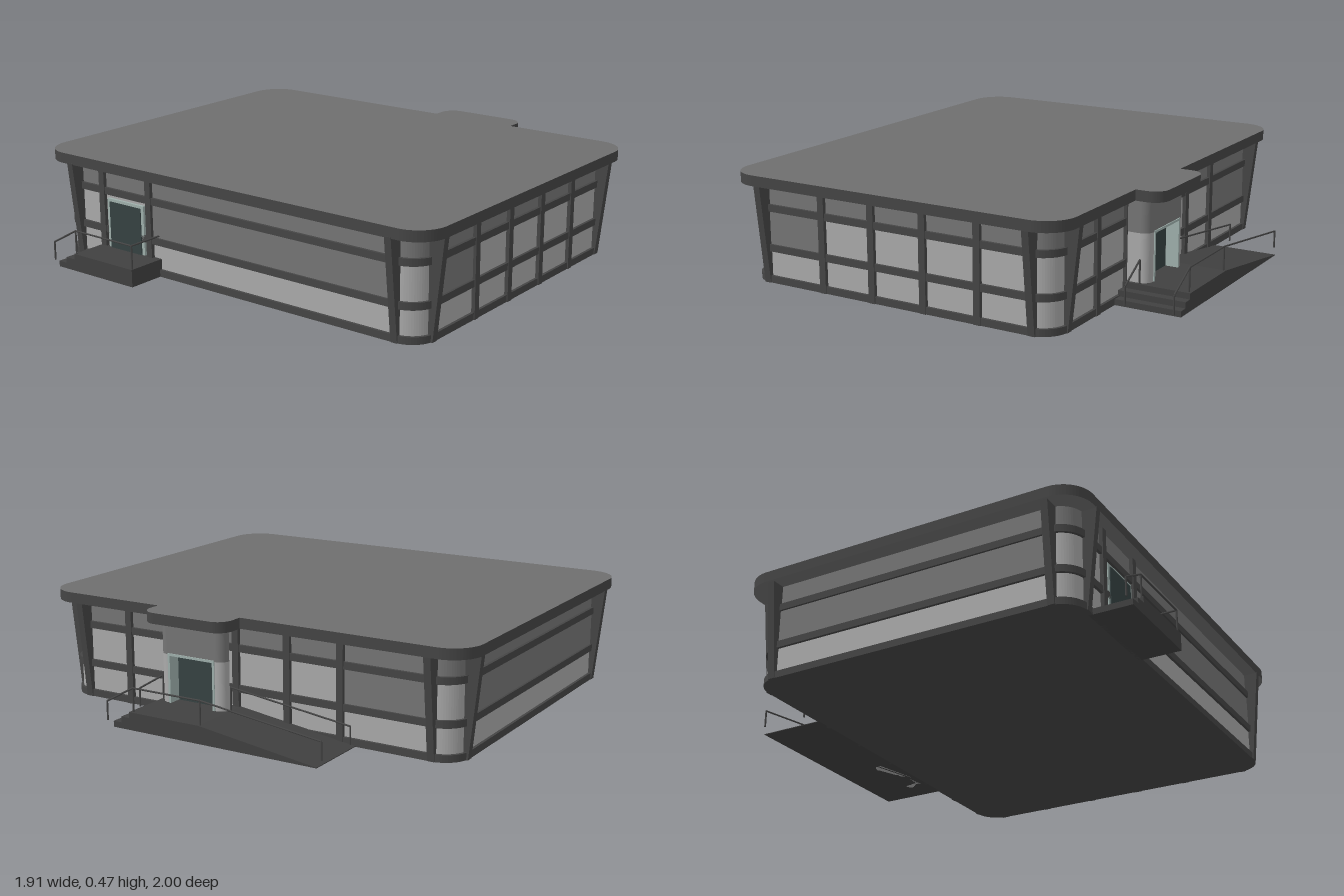
import * as THREE from 'three';

const mat = (color) => new THREE.MeshStandardMaterial({ color, side: THREE.DoubleSide });
const roofMat = mat(0x6e6e6e), frameMat = mat(0x454545), glassMat = mat(0xaaaaaa);
const tintMat = mat(0x757575), deckMat = mat(0x404040), doorMat = mat(0x364242), trimMat = mat(0x9fb0ac);

// wall faces and window posts
const W = { x0: -0.785, x1: 0.655, z: 0.93, top: 0.425 };

export function createModel() {
  const model = new THREE.Group();

  function add(name, geometry, material, parent = model) {
    const mesh = new THREE.Mesh(geometry, material);
    mesh.name = name;
    parent.add(mesh);
    return mesh;
  }
  // box given by its limits
  function box(name, x0, x1, y0, y1, z0, z1, material) {
    const m = add(name, new THREE.BoxGeometry(x1 - x0, y1 - y0, z1 - z0), material);
    m.position.set((x0 + x1) / 2, (y0 + y1) / 2, (z0 + z1) / 2);
    return m;
  }
  // plan outline (x, z) raised from y0 to y1
  function raise(name, shape, y0, y1, material) {
    const g = new THREE.ExtrudeGeometry(shape, { depth: y1 - y0, bevelEnabled: false, curveSegments: 8 });
    g.rotateX(Math.PI / 2).translate(0, y1, 0);
    return add(name, g, material);
  }
  function roundRect(x0, x1, z0, z1, r, Type = THREE.Shape) {
    const s = new Type();
    s.absarc(x1 - r, z1 - r, r, 0, Math.PI / 2);
    s.absarc(x0 + r, z1 - r, r, Math.PI / 2, Math.PI);
    s.absarc(x0 + r, z0 + r, r, Math.PI, Math.PI * 1.5);
    s.absarc(x1 - r, z0 + r, r, Math.PI * 1.5, Math.PI * 2);
    s.closePath();
    return s;
  }
  const wallPlan = (out, Type) =>
    roundRect(W.x0 - out, W.x1 + out, -W.z - out, W.z + out, 0.1 + out, Type);

  // walls: light lower rows, tinted top row
  raise('lowerWindows', wallPlan(0), 0.01, 0.32, glassMat);
  raise('upperWindows', wallPlan(0), 0.32, W.top, tintMat);
  raise('floorSlab', wallPlan(0.012), 0, 0.03, frameMat);
  for (const y of [0.135, 0.305]) {
    const ring = wallPlan(0.012);
    ring.holes.push(wallPlan(-0.004, THREE.Path));
    raise('windowBand', ring, y, y + 0.03, frameMat);
  }

  // tinted panels in the middle row
  const t = 0.003;
  box('tintedPanelFront', -0.70, -0.41, 0.165, 0.305, W.z - t, W.z + t, tintMat);
  box('tintedPanelBack', -0.70, 0.57, 0.165, 0.305, -W.z - t, -W.z + t, tintMat);
  box('tintedPanelLeft', W.x1 - t, W.x1 + t, 0.165, 0.305, -0.84, -0.43, tintMat);
  box('tintedPanelRight', W.x0 - t, W.x0 + t, 0.165, 0.305, -0.42, 0.83, tintMat);

  // flaring fins beside the rounded corners
  const finShape = new THREE.Shape([[-0.01, 0], [0.015, 0], [0.062, W.top], [-0.01, W.top]]
    .map(([x, y]) => new THREE.Vector2(x, y)));
  function fin(x, z, angle) {
    const g = new THREE.ExtrudeGeometry(finShape, { depth: 0.03, bevelEnabled: false });
    const m = add('cornerFin', g.translate(0, 0, -0.015), frameMat);
    m.position.set(x, 0, z);
    m.rotation.y = angle;
  }
  for (const s of [-1, 1]) {
    for (const x of [-0.70, 0.57]) fin(x, s * W.z, -s * Math.PI / 2);
    fin(W.x1, s * 0.83, 0);
    fin(W.x0, s * 0.83, Math.PI);
  }

  // straight posts between windows
  const p = 0.016, w = 0.015;
  for (const x of [-0.41, -0.165, 0.08, 0.33])
    box('frontPost', x - w, x + w, 0, W.top, W.z - 0.01, W.z + p, frameMat);
  for (const z of [0.605, 0.36, 0.06, -0.185, -0.43])
    box('leftPost', W.x1 - 0.01, W.x1 + p, 0, W.top, z - w, z + w, frameMat);
  for (const z of [-0.69, -0.42])
    box('rightPost', W.x0 - p, W.x0 + 0.01, 0, W.top, z - w, z + w, frameMat);

  // flat roof with its rounded canopy over the entrance
  const roof = new THREE.Shape(), R = 0.13, c = 0.065, H = Math.PI / 2;
  roof.absarc(0.72 - R, 1 - R, R, 0, H);
  roof.absarc(-0.845 + R, 1 - R, R, H, 2 * H);
  roof.absarc(-0.845 + R, -1 + R, R, 2 * H, 3 * H);
  roof.absarc(0.72 - R, -1 + R, R, 3 * H, 4 * H);
  roof.lineTo(0.72, 0);
  roof.absarc(0.835 - c, c, c, 3 * H, 4 * H);
  roof.absarc(0.835 - c, 0.405 - c, c, 0, H);
  roof.lineTo(0.72, 0.405);
  roof.closePath();
  raise('roof', roof, 0.42, 0.465, [roofMat, frameMat]);

  // entrance porch with a recessed door
  const r = 0.04, vx = 0.765, va = 0.05, vb = 0.37;
  function porchPlan(notch) {
    const s = new THREE.Shape();
    s.moveTo(0.65, va);
    s.absarc(vx - r, va + r, r, 3 * H, 4 * H);
    if (notch) for (const [x, z] of [[vx, 0.1], [0.7, 0.1], [0.7, 0.32], [vx, 0.32]]) s.lineTo(x, z);
    s.absarc(vx - r, vb - r, r, 0, H);
    s.lineTo(0.65, vb);
    s.closePath();
    return s;
  }
  raise('porchWalls', porchPlan(true), 0, 0.28, glassMat);
  raise('porchHead', porchPlan(false), 0.28, W.top, tintMat);
  box('entranceDoor', 0.7, 0.712, 0.075, 0.275, 0.105, 0.315, doorMat);
  for (const z of [0.1, 0.32])
    box('entranceJamb', 0.7, vx + 0.004, 0.075, 0.285, z - 0.005, z + 0.005, trimMat);
  box('entranceLintel', 0.7, vx + 0.004, 0.275, 0.285, 0.1, 0.32, trimMat);

  // side door
  box('sideDoorFrame', W.x0 - 0.012, W.x0 + 0.01, 0.075, 0.29, -0.66, -0.45, trimMat);
  box('sideDoor', W.x0 - 0.016, W.x0, 0.075, 0.278, -0.645, -0.465, doorMat);

  // side profile (z, y) extruded across x
  function across(name, points, x0, x1) {
    const s = new THREE.Shape(points.map(([z, y]) => new THREE.Vector2(-z, y)));
    const g = new THREE.ExtrudeGeometry(s, { depth: x1 - x0, bevelEnabled: false });
    g.rotateY(H).translate(x0, 0, 0);
    return add(name, g, deckMat);
  }
  across('entranceStepsAndRamp', [[0.465, 0], [0.465, 0.025], [0.425, 0.025], [0.425, 0.05],
    [0.385, 0.05], [0.385, 0.075], [0.04, 0.075], [-0.5, 0.003], [-0.5, 0]], 0.66, 0.955);
  across('sideSteps', [[-0.365, 0], [-0.365, 0.075], [-0.705, 0.075], [-0.705, 0.05],
    [-0.755, 0.05], [-0.755, 0.025], [-0.8, 0.025], [-0.8, 0]], -0.96, -0.78);

  // handrails: straight bars joining points
  function bar(name, a, b) {
    const A = new THREE.Vector3(...a), B = new THREE.Vector3(...b), d = B.clone().sub(A);
    const m = add(name, new THREE.CylinderGeometry(0.004, 0.004, d.length(), 6), frameMat);
    m.position.copy(A).addScaledVector(d, 0.5);
    m.quaternion.setFromUnitVectors(new THREE.Vector3(0, 1, 0), d.normalize());
  }
  function rail(points, feet) {
    for (let i = 1; i < points.length; i++) bar('handrail', points[i - 1], points[i]);
    points.forEach(([x, y, z], i) => {
      if (feet[i] !== null) bar('railPost', [x, feet[i], z], [x, y, z]);
    });
  }
  rail([[0.943, 0.1, 0.505], [0.943, 0.175, 0.37], [0.943, 0.175, 0.04], [0.943, 0.105, -0.515]],
    [0.02, 0.07, 0.07, 0.03]);
  rail([[0.732, 0.1, 0.505], [0.732, 0.175, 0.38]], [0.02, 0.07]);
  rail([[0.732, 0.175, 0.04], [0.732, 0.105, -0.515]], [0.07, 0.03]);
  rail([[-0.95, 0.1, -0.835], [-0.95, 0.175, -0.70], [-0.95, 0.175, -0.372], [-0.79, 0.175, -0.372]],
    [0.02, 0.07, 0.07, null]);

  return model;
}
